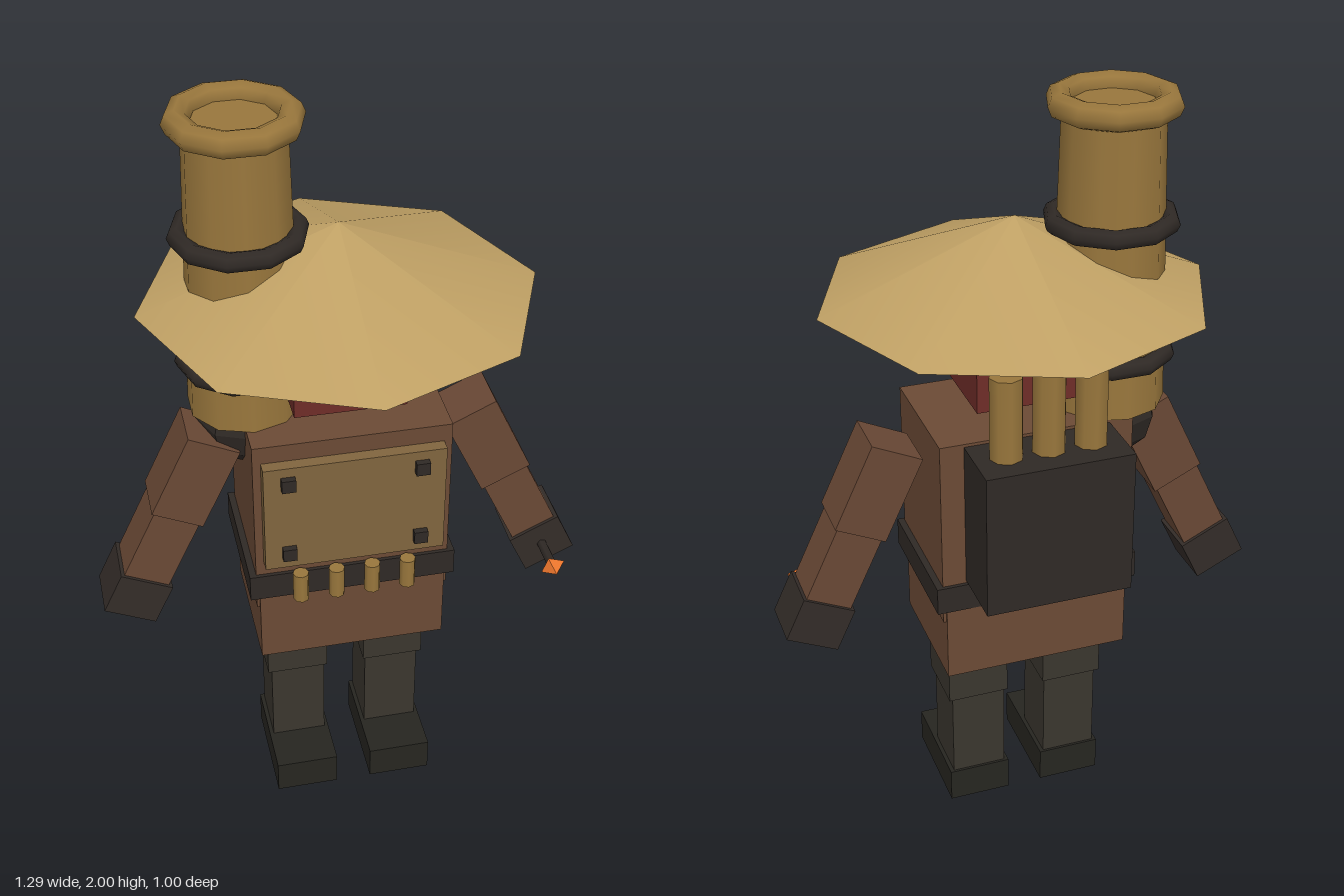
import * as THREE from 'three';

const mat = (color, flatShading = false) => new THREE.MeshStandardMaterial({ color, flatShading });
const M = {
  coat: mat(0x6b4a35), sleeve: mat(0x694835), skin: mat(0x755947), cloth: mat(0x6e2d28),
  dark: mat(0x2f2925), glove: mat(0x332c28), legs: mat(0x3a362e), boots: mat(0x262520),
  plate: mat(0x80653e), brass: mat(0x98763c), straw: mat(0xbfa064),
  eye: mat(0xe09a3c), ember: mat(0xe8742c, true), darkFlat: mat(0x2f2925, true),
};

export function createModel() {
  const model = new THREE.Group();

  const add = (name, geometry, material, x, y, z, parent = model) => {
    const mesh = new THREE.Mesh(geometry, material);
    mesh.name = name;
    mesh.position.set(x, y, z);
    parent.add(mesh);
    return mesh;
  };
  const box = (name, w, h, d, material, x, y, z, parent) =>
    add(name, new THREE.BoxGeometry(w, h, d), material, x, y, z, parent);
  const cyl = (name, rTop, rBottom, h, sides, material, x, y, z, parent) =>
    add(name, new THREE.CylinderGeometry(rTop, rBottom, h, sides), material, x, y, z, parent);

  // Legs and arms, mirrored
  for (const s of [1, -1]) {
    const side = s > 0 ? 'left' : 'right';
    box(side + 'Boot', 0.17, 0.095, 0.29, M.boots, s * 0.133, 0.0475, 0.06);
    box(side + 'Shin', 0.148, 0.26, 0.156, M.legs, s * 0.133, 0.222, 0);
    box(side + 'Thigh', 0.166, 0.2, 0.175, M.legs, s * 0.135, 0.447, 0);

    const arm = new THREE.Group();
    arm.name = side + 'Arm';
    arm.position.set(s * 0.333, 1.138, 0);
    arm.rotation.z = s * 0.443;
    model.add(arm);
    box(side + 'UpperArm', 0.143, 0.245, 0.145, M.sleeve, 0, -0.122, 0, arm);
    box(side + 'Forearm', 0.126, 0.24, 0.128, M.sleeve, 0, -0.345, 0, arm);
    box(side + 'Hand', 0.146, 0.122, 0.146, M.glove, 0, -0.518, 0, arm);
    if (s > 0) {
      // Small glowing tool held in the left hand
      const rod = cyl('toolRod', 0.014, 0.014, 0.12, 6, M.dark, 0, -0.52, 0.1, arm);
      rod.rotation.x = Math.PI / 2;
      add('emberTip', new THREE.OctahedronGeometry(0.034), M.ember, 0, -0.52, 0.172, arm);
    }
  }

  // Body
  box('coatSkirt', 0.495, 0.21, 0.36, M.coat, 0, 0.61, 0);
  box('torso', 0.51, 0.515, 0.346, M.coat, 0, 0.9325, 0);
  box('belt', 0.545, 0.075, 0.366, M.dark, 0, 0.7475, 0);
  for (let i = 0; i < 4; i++)
    cyl('cartridge', 0.021, 0.021, 0.085, 8, M.brass, -0.142 + i * 0.0945, 0.753, 0.199);

  // Chest plate with corner bolts
  box('chestPlate', 0.468, 0.315, 0.035, M.plate, 0, 0.984, 0.188);
  for (const x of [-0.172, 0.17])
    for (const y of [0.877, 1.097]) box('plateBolt', 0.036, 0.036, 0.03, M.dark, x, y, 0.208);

  // Backpack with three canisters
  box('backpack', 0.385, 0.39, 0.175, M.dark, 0, 0.987, -0.256);
  for (const x of [-0.11, 0, 0.11])
    cyl('canister', 0.043, 0.043, 0.25, 8, M.brass, x, 1.277, -0.25);

  // Head, scarf, eyes and hat
  box('head', 0.262, 0.26, 0.256, M.skin, 0, 1.4, 0);
  box('scarf', 0.285, 0.128, 0.272, M.cloth, 0.001, 1.309, 0.005);
  for (const s of [1, -1]) box('eye', 0.056, 0.026, 0.02, M.eye, s * 0.058, 1.426, 0.13);
  add('strawHat', new THREE.ConeGeometry(0.5, 0.2, 8), M.straw, 0, 1.596, 0);

  // Shoulder barrel with bands, muzzle lip and mount
  const cannon = new THREE.Group();
  cannon.name = 'shoulderCannon';
  cannon.position.set(-0.235, 0, -0.042);
  model.add(cannon);
  cyl('barrel', 0.126, 0.147, 0.775, 10, M.brass, 0, 1.5775, 0, cannon);
  const ring = (name, radius, tube, material, y) => {
    const mesh = add(name, new THREE.TorusGeometry(radius, tube, 8, 10), material, 0, y, 0, cannon);
    mesh.rotation.x = Math.PI / 2;
  };
  ring('muzzleLip', 0.135, 0.033, M.brass, 1.967);
  ring('upperBand', 0.147, 0.025, M.dark, 1.675);
  ring('lowerBand', 0.147, 0.025, M.dark, 1.33);
  add('cannonMount', new THREE.SphereGeometry(0.13, 8, 6), M.darkFlat, 0, 1.155, 0, cannon);

  return model;
}
